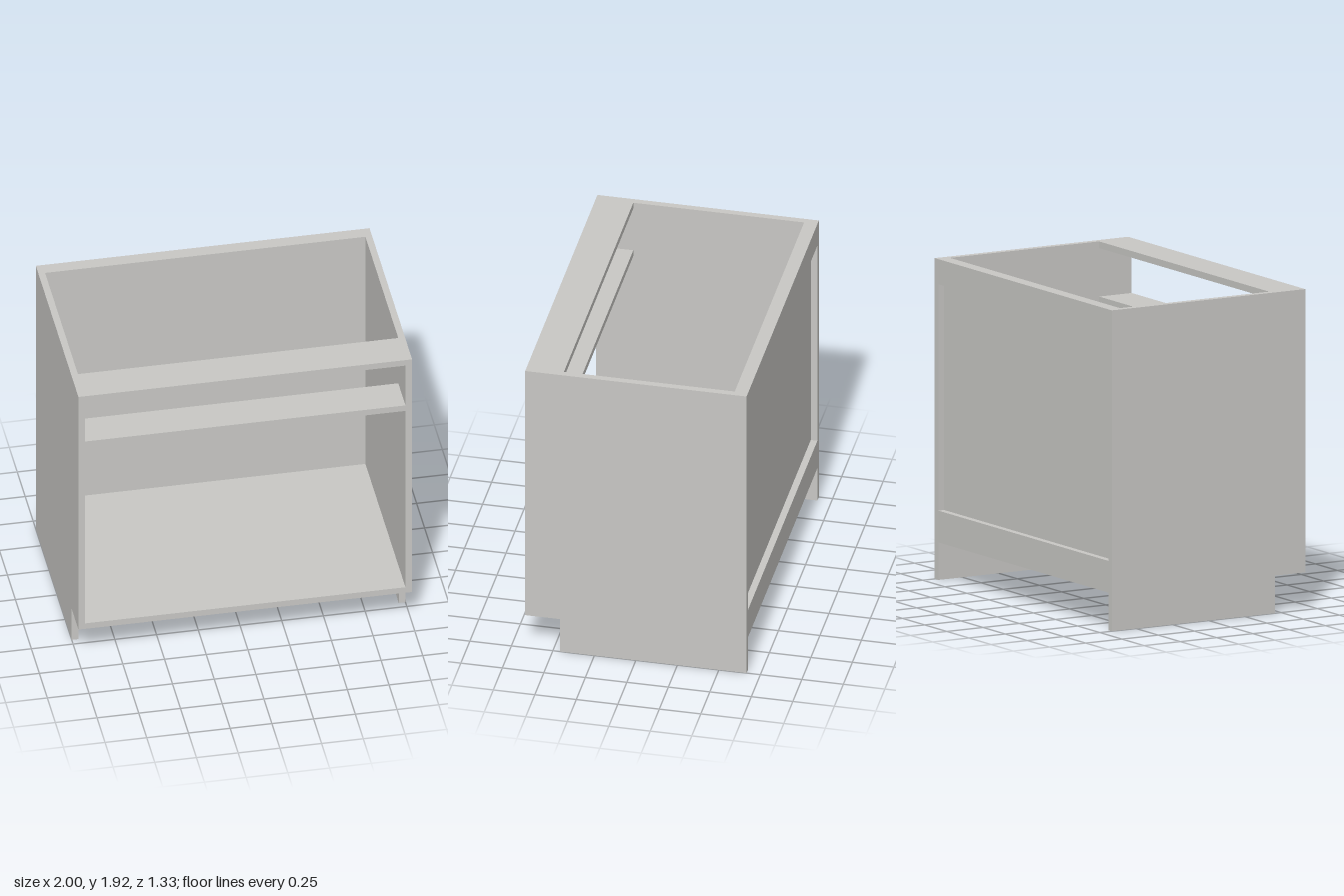
import * as THREE from 'three';

const W = 2, H = 1.92, D = 1.334, T = 0.04; // overall size and board thickness
const TOE_H = 0.225, TOE_D = 0.21;          // toe-kick notch

export function createModel() {
  const group = new THREE.Group();
  group.name = 'baseCabinet';
  const board = new THREE.MeshStandardMaterial({ color: 0xc8c7c4 });
  board.name = 'warmGreyBoard';

  const front = D / 2, back = -D / 2, inner = W - 2 * T;

  // Board spanning between the sides, given by its y and z limits
  const addBoard = (name, y0, y1, z0, z1) => {
    const mesh = new THREE.Mesh(new THREE.BoxGeometry(inner, y1 - y0, z1 - z0), board);
    mesh.position.set(0, (y0 + y1) / 2, (z0 + z1) / 2);
    mesh.name = name;
    group.add(mesh);
  };

  // Side panels: profile in (-z, y), notched at the front foot, then turned upright
  const profile = new THREE.Shape([
    [-front + TOE_D, 0], [-back, 0], [-back, H],
    [-front, H], [-front, TOE_H], [-front + TOE_D, TOE_H],
  ].map(([x, y]) => new THREE.Vector2(x, y)));
  const sideGeo = new THREE.ExtrudeGeometry(profile, { depth: T, bevelEnabled: false });
  sideGeo.rotateY(Math.PI / 2);
  for (const [name, x] of [['leftSidePanel', W / 2 - T], ['rightSidePanel', -W / 2]]) {
    const side = new THREE.Mesh(sideGeo, board);
    side.position.x = x;
    side.name = name;
    group.add(side);
  }

  // Floor and front stretchers
  const floorTop = TOE_H + T, railDepth = 0.225;
  addBoard('bottomPanel', TOE_H, floorTop, back, front);
  addBoard('topStretcher', H - T, H, front - railDepth, front);
  addBoard('drawerStretcher', 1.55, 1.59, front - railDepth, front);

  // Recessed back panel with hanging rails behind it
  addBoard('backPanel', floorTop, H, back + T, back + 2 * T);
  addBoard('upperBackRail', H - 0.15, H, back, back + T);
  addBoard('lowerBackRail', floorTop, floorTop + 0.15, back, back + T);

  return group;
}
